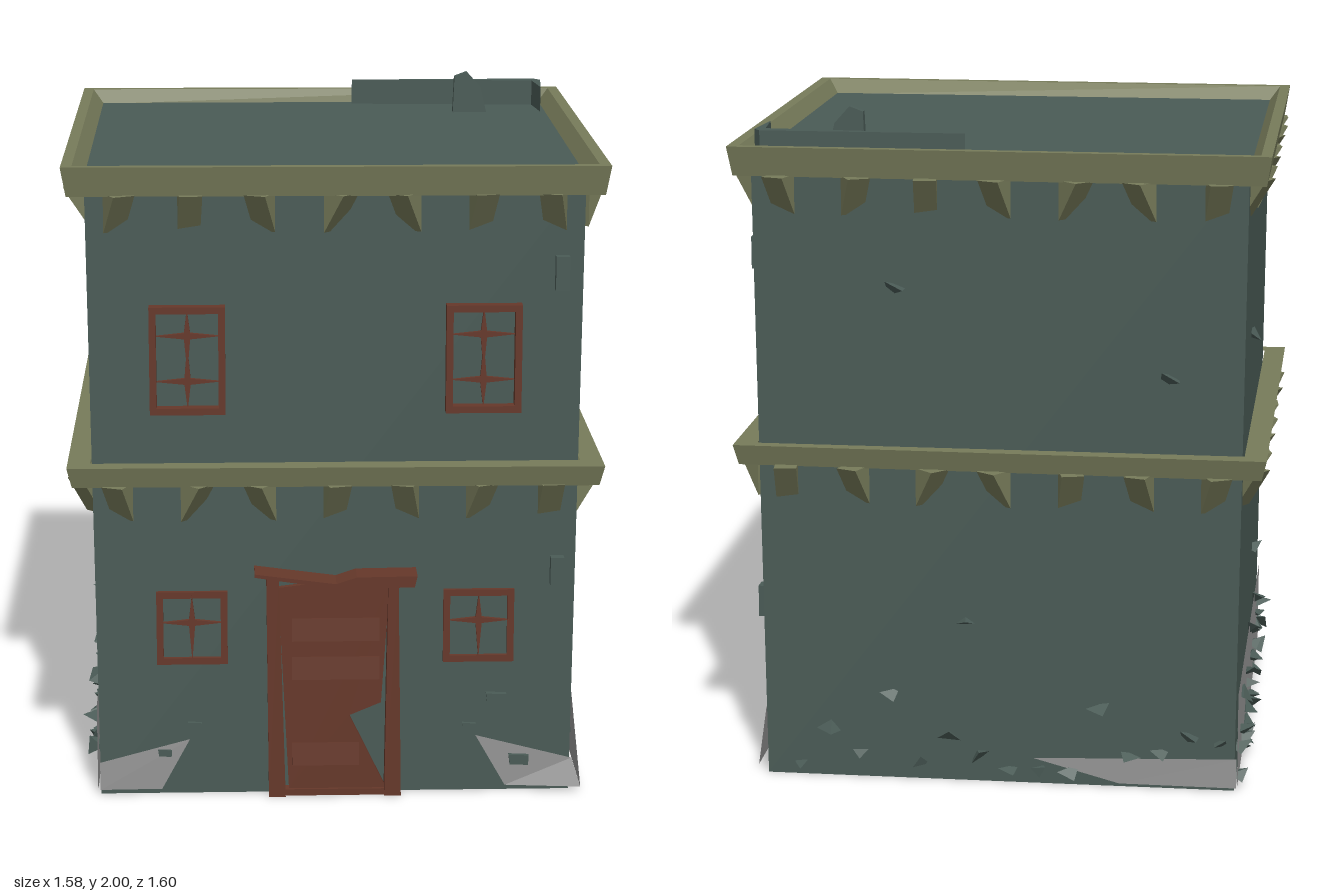
import * as THREE from 'three';

const mat = (name, color, side = THREE.FrontSide) => {
  const m = new THREE.MeshStandardMaterial({ color, side });
  m.name = name;
  return m;
};

export function createModel() {
  const model = new THREE.Group();
  model.name = 'house';
  const wall = mat('wallTeal', 0x4a5b56, THREE.DoubleSide);
  const trim = mat('trimKhaki', 0x777b5a);
  const wood = mat('woodBrown', 0x66382a);
  const stone = mat('bareGrey', 0x959595, THREE.DoubleSide);

  let seed = 7;
  const rnd = () => (seed = (seed * 16807) % 2147483647) / 2147483647;

  const add = (name, geo, material, x = 0, y = 0, z = 0, parent = model) => {
    const m = new THREE.Mesh(geo, material);
    m.name = name;
    m.position.set(x, y, z);
    parent.add(m);
    return m;
  };
  const group = (name) => {
    const g = new THREE.Group();
    g.name = name;
    model.add(g);
    return g;
  };
  const fromTriangles = (pts) => {
    const g = new THREE.BufferGeometry();
    g.setAttribute('position', new THREE.Float32BufferAttribute(pts.flat(), 3));
    g.computeVertexNormals();
    return g;
  };
  // Rectangular ring, counter-clockwise from above, with an optional skew
  const ring = (hx, hz, y, skew = 0, cz = -0.017) =>
    [[-1, 1], [1, 1], [1, -1], [-1, -1]].map(([i, k]) => [i * hx, y, cz + k * hz + skew * i * hx]);
  // Flat-faced skin over successive rings
  const loft = (rings) => {
    const pts = [];
    for (let r = 0; r + 1 < rings.length; r++) {
      for (let j = 0; j < 4; j++) {
        const k = (j + 1) % 4;
        const [a, b, c, d] = [rings[r][j], rings[r][k], rings[r + 1][k], rings[r + 1][j]];
        pts.push(a, b, c, a, c, d);
      }
    }
    return fromTriangles(pts);
  };
  const fan = (p) => {
    const pts = [];
    for (let i = 1; i + 1 < p.length; i++) pts.push(p[0], p[i], p[i + 1]);
    return fromTriangles(pts);
  };
  const plate = (points, depth) => new THREE.ExtrudeGeometry(
    new THREE.Shape(points.map(([x, y]) => new THREE.Vector2(x, y))), { depth, bevelEnabled: false });

  // Hollow walls, open below, and the flat roof
  add('walls', loft([ring(0.703, 0.717, 0), ring(0.72, 0.717, 1.87)]), wall);
  add('roof', loft([ring(0.722, 0.722, 1.87), ring(0, 0, 1.87)]), wall);

  // Flared ledges: roof parapet and storey band
  const ledge = (y0, y1, sunk) => [
    ring(0, 0, y0), ring(0.77, 0.755, y0, 0.012, -0.008), ring(0.784, 0.772, y1, 0.012, -0.008),
    ring(0.752, 0.742, y1, 0.012, -0.008), ring(0.718, 0.715, y1 - sunk, 0.004)];
  add('parapet', loft(ledge(1.825, 1.912, 0.045)), trim);
  add('storeyLedge', loft(ledge(0.965, 1.027, 0)), trim);

  // Wedge brackets under both ledges on all four sides, set a little crooked
  const wedge = plate([[-0.015, 0], [0.06, 0], [-0.015, -0.115]], 0.066);
  wedge.translate(0, 0, -0.033);
  wedge.rotateY(-Math.PI / 2);
  const yaws = [0.45, 0.1, -0.4, 0.8, -0.6, 0.25, -0.3];
  const brackets = group('brackets');
  for (const y of [1.828, 0.968]) {
    for (let s = 0; s < 4; s++) {
      for (let i = 0; i < 7; i++) {
        const side = new THREE.Group();
        side.name = 'bracketMount';
        side.position.z = -0.017;
        side.rotation.y = s * Math.PI / 2;
        brackets.add(side);
        const b = add('bracket', wedge, trim, -0.63 + i * 0.21, y, 0.722, side);
        b.rotation.y = yaws[(i + s * 3 + (y < 1 ? 2 : 0)) % 7];
      }
    }
  }

  // Windows: frame with thin, splintered glazing bars
  const star = (w, up, down) => {
    const c = 0.009;
    return plate([[-w, 0], [-c, -c], [0, -down], [c, -c], [w, 0], [c, c], [0, up], [-c, c]], 0.012);
  };
  const addWindow = (cx, y0, y1, w, zFront, stars) => {
    const g = group('window');
    const t = 0.02;
    const h = y1 - y0;
    const cy = (y0 + y1) / 2;
    const d = zFront - 0.685;
    const zc = 0.685 + d / 2;
    for (const s of [-1, 1]) {
      add('frameSide', new THREE.BoxGeometry(t, h, d), wood, cx + s * (w - t) / 2, cy, zc, g);
      add('frameRail', new THREE.BoxGeometry(w, t, d), wood, cx, cy + s * (h - t) / 2, zc, g);
    }
    for (const [y, up, down] of stars) add('glazingBar', star(w / 2 - 0.015, up, down), wood, cx, y, 0.702, g);
  };
  for (const s of [-1, 1]) {
    addWindow(s * 0.43, 1.18, 1.5, 0.22, 0.735, [[1.41, 0.08, 0.11], [1.275, 0.11, 0.085]]);
    addWindow(s * 0.425, 0.41, 0.635, 0.21, 0.713, [[0.54, 0.085, 0.12]]);
  }

  // Broken door with leaning posts and a sagging lintel
  const door = group('door');
  add('doorLeaf', plate([[-0.14, 0.02], [0.15, 0.02], [0.04, 0.25], [0.135, 0.29], [0.16, 0.66],
    [0, 0.67], [-0.17, 0.65]], 0.018), wood, 0, 0, 0.708, door);
  for (const y of [0.13, 0.4, 0.52]) {
    const w = y < 0.2 ? 0.2 : 0.26;
    const slat = add('doorSlat', new THREE.BoxGeometry(w, 0.07, 0.01), wood, y < 0.2 ? -0.03 : 0, y, 0.727, door);
    slat.rotation.x = -0.1;
  }
  add('leftPost', plate([[0.145, 0], [0.195, 0], [0.185, 0.67], [0.155, 0.67]], 0.05), wood, 0, 0, 0.695, door);
  add('rightPost', plate([[-0.2, 0], [-0.15, 0], [-0.168, 0.69], [-0.205, 0.69]], 0.05), wood, 0, 0, 0.695, door);
  add('threshold', new THREE.BoxGeometry(0.34, 0.02, 0.04), wood, 0, 0.01, 0.715, door);
  add('lintel', plate([[-0.24, 0.702], [0, 0.665], [0.23, 0.668], [0.238, 0.702], [0.06, 0.7],
    [0, 0.68], [-0.24, 0.712]], 0.09), wood, 0, 0, 0.7, door);

  // Bare patches along the foot of the walls, standing slightly proud
  const patches = [
    [[0.735, 0.02, 0.74], [0.735, 0.02, -0.725], [0.71, 0.2, -0.72], [0.71, 0.3, 0.665]],
    [[-0.712, 0.01, -0.738], [-0.712, 0.01, 0.705], [-0.712, 0.28, 0.7], [-0.712, 0.3, -0.735]],
    [[0.51, 0.015, 0.705], [0.735, 0.02, 0.74], [0.71, 0.1, 0.706], [0.42, 0.175, 0.705]],
    [[-0.705, 0.015, 0.71], [-0.52, 0.015, 0.706], [-0.435, 0.172, 0.705], [-0.705, 0.1, 0.706]],
    [[-0.36, 0.01, -0.739], [-0.71, 0.01, -0.742], [-0.71, 0.1, -0.739], [-0.1, 0.08, -0.739]],
  ];
  patches.forEach((p) => add('barePatch', fan(p), stone));

  // Corner blocks
  const blocks = group('cornerBlocks');
  for (const [y0, y1] of [[1.54, 1.64], [0.65, 0.735]])
    add('cornerBlock', new THREE.BoxGeometry(0.04, y1 - y0, 0.04), wall, 0.655, (y0 + y1) / 2, 0.708, blocks);
  for (const y of [1.585, 0.52])
    add('cornerBlock', new THREE.BoxGeometry(0.04, 0.095, 0.045), wall, 0.716, y, -0.65, blocks);

  // Small chips on the front and left walls
  const chips = group('wallChips');
  const chip = plate([[-0.032, 0.017], [-0.028, -0.015], [0.03, -0.018], [0.032, 0.014]], 0.025);
  for (const [x, y] of [[0.48, 0.295], [-0.42, 0.215], [-0.51, 0.13], [0.55, 0.1], [0.4, 0.205]])
    add('chip', chip, wall, x, y, 0.695, chips).scale.setScalar(x > 0.45 ? 0.95 : 0.65);
  for (const [z, y] of [[0.52, 0.135], [0.15, 0.14], [-0.23, 0.13], [0.05, 0.41], [-0.04, 1.51]]) {
    const c = add('chip', chip, wall, y < 0.3 ? 0.708 : 0.7, y, z, chips);
    c.rotation.y = Math.PI / 2;
    c.scale.setScalar(z < -0.2 ? 0.5 : 0.9);
  }

  // Sharp splinters scattered over the right and back walls
  const shards = group('shards');
  const tetra = new THREE.TetrahedronGeometry(1);
  const addShard = (x, y, z, onSide) => {
    const s = 0.028 + rnd() * 0.022;
    const m = add('shard', tetra, wall, x, y, z, shards);
    m.scale.set(s, s * 0.5, s);
    m.rotation.set((rnd() - 0.5) * 1.2, rnd() * 6, (rnd() - 0.5) * 1.2);
    if (onSide) m.scale.x *= 1.2;
  };
  for (let i = 0; i < 30; i++) addShard(-0.715, 0.035 + rnd() * rnd() * 0.3, -0.68 + i * 0.044, true);
  for (let i = 0; i < 15; i++) addShard(-0.66 + i * 0.09, 0.035 + rnd() * 0.25, -0.736, false);
  for (const [x, y] of [[0.3, 1.5], [-0.5, 1.25], [0.1, 0.5]]) addShard(x, y, -0.732, false);
  addShard(-0.708, 0.49, 0.2, true);
  addShard(-0.714, 1.3, -0.3, true);

  // Rubble on the roof
  const rubble = group('roofRubble');
  const sliver = plate([[0.1, 0.695], [0.69, 0.655], [0.705, 0.505], [0.72, 0.67], [0.7, 0.7]], 0.085);
  sliver.rotateX(-Math.PI / 2);
  add('sliver', sliver, wall, 0, 1.865, 0, rubble);
  add('uprightChip', plate([[0.42, 1.865], [0.53, 1.865], [0.51, 1.95], [0.465, 2], [0.425, 1.985]], 0.03),
    wall, 0, 0, -0.53, rubble);

  return model;
}
